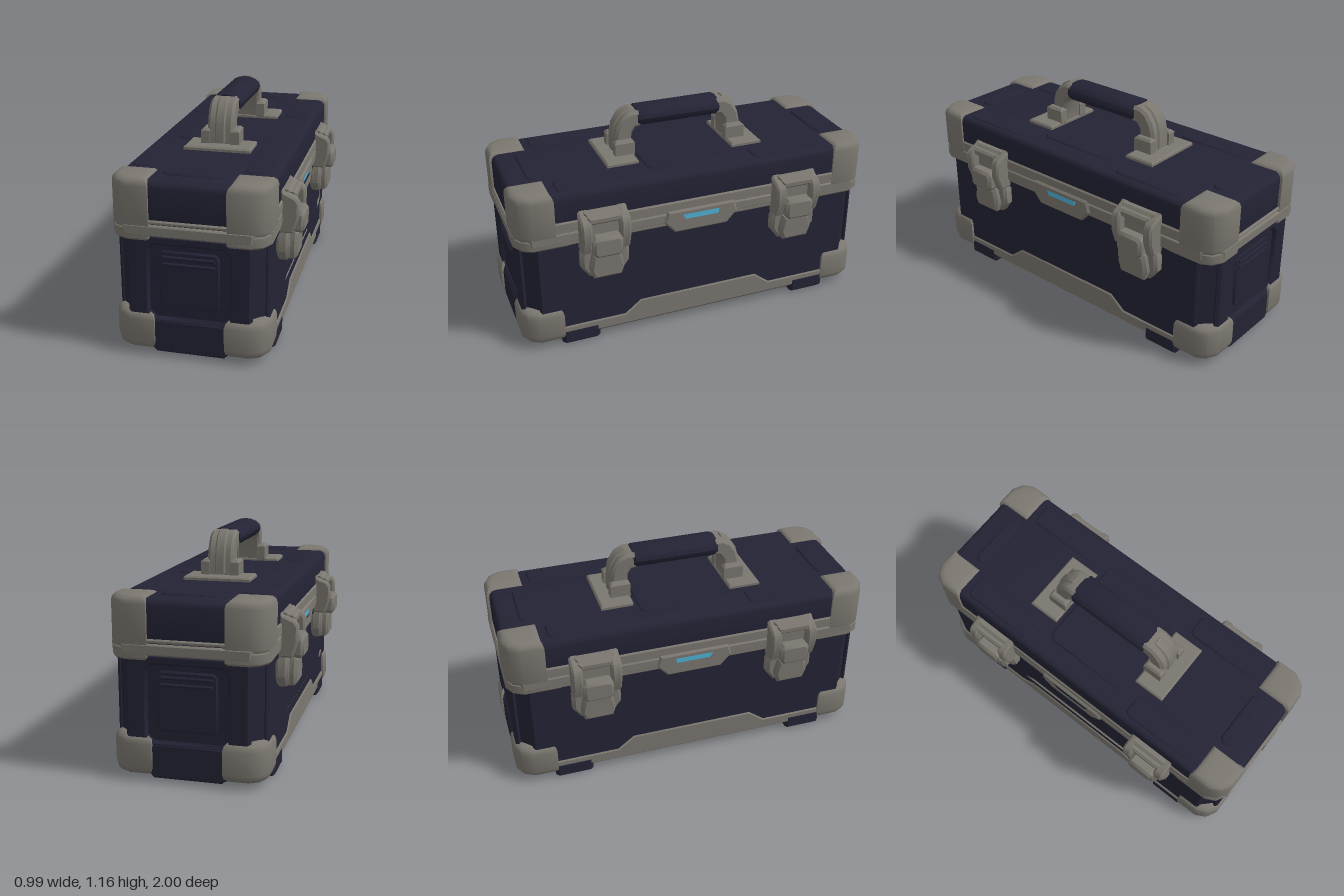
import * as THREE from 'three';
import { toCreasedNormals } from 'three/addons/utils/BufferGeometryUtils.js';

const navy = new THREE.MeshStandardMaterial({ color: 0x232335 });
navy.name = 'dark navy';
const grey = new THREE.MeshStandardMaterial({ color: 0x7b7770 });
grey.name = 'warm grey';
const cyan = new THREE.MeshStandardMaterial({ color: 0x4fb2d6 });
cyan.name = 'cyan';

const toPath = (pts, Type) => new Type(pts.map(([a, b]) => new THREE.Vector2(a, b)));

// Bevelled extrusion whose outline and depth stay exact
function extrude(pts, d0, d1, bevel, hole) {
  const shape = toPath(pts, THREE.Shape);
  if (hole) shape.holes.push(toPath(hole, THREE.Path));
  const g = new THREE.ExtrudeGeometry(shape, {
    depth: d1 - d0 - 2 * bevel, bevelEnabled: bevel > 0, bevelSize: bevel,
    bevelThickness: bevel, bevelOffset: -bevel, bevelSegments: bevel > 0.03 ? 3 : 1,
  });
  return g.translate(0, 0, d0 + bevel);
}

// Outline in (x, z) raised along y; in (z, y) run along x; in (x, y) run along z
const plan = (pts, y0, y1, b = 0.01) => extrude(pts.map(([x, z]) => [x, -z]), y0, y1, b).rotateX(-Math.PI / 2);
const flip = (pts) => pts && pts.map(([z, y]) => [-z, y]);
const across = (pts, x0, x1, b = 0.01, hole) => extrude(flip(pts), x0, x1, b, flip(hole)).rotateY(Math.PI / 2);
const along = extrude;

const rect = (x0, x1, y0, y1) => [[x0, y0], [x1, y0], [x1, y1], [x0, y1]];
const octagon = (x0, x1, y0, y1, c) => [
  [x0 + c, y0], [x1 - c, y0], [x1, y0 + c], [x1, y1 - c],
  [x1 - c, y1], [x0 + c, y1], [x0, y1 - c], [x0, y0 + c],
];
// Quarter plan of a corner guard, cut on its outer corner
const cornerPlan = (sx, sz, xi, xo, zi, zo, c) => [
  [xi, zi], [xo, zi], [xo, zo - c], [xo - c * 0.35, zo - c * 0.35], [xo - c, zo], [xi, zo],
].map(([x, z]) => [x * sx, z * sz]);
// Bounds mirrored across zero for side -1
const span = (s, a, b) => (s > 0 ? [a, b] : [-b, -a]);

export function createModel() {
  const model = new THREE.Group();
  const add = (name, geometry, material) => {
    const m = new THREE.Mesh(toCreasedNormals(geometry, 0.6), material);
    m.name = name;
    model.add(m);
    return m;
  };

  // Main shells
  add('body', plan(octagon(-0.36, 0.36, -0.965, 0.965, 0.07), 0.03, 0.66, 0.03), navy);
  add('lid', plan(octagon(-0.385, 0.385, -0.985, 0.985, 0.08), 0.66, 0.905, 0.035), navy);
  add('rimLower', plan(octagon(-0.393, 0.393, -1, 1, 0.085), 0.635, 0.692, 0.008), grey);
  add('rimUpper', plan(octagon(-0.39, 0.39, -0.997, 0.997, 0.085), 0.696, 0.715, 0.006), grey);

  // Grey base tray with a raised middle on each long side
  add('baseTray', across([
    [-0.82, 0.03], [0.82, 0.03], [0.82, 0.13], [0.44, 0.13], [0.35, 0.2],
    [-0.35, 0.2], [-0.44, 0.13], [-0.82, 0.13],
  ], -0.385, 0.385, 0.025), grey);
  add('undersidePanel', plan(octagon(-0.19, 0.19, -0.17, 0.17, 0.03), 0.022, 0.04, 0.006), navy);

  // Lid top relief
  add('lidCentrePad', plan(octagon(-0.27, 0.27, -0.25, 0.25, 0.03), 0.89, 0.913, 0.008), navy);

  for (const sz of [1, -1]) {
    const [e0, e1] = span(sz, 0.95, 0.983);
    // Recessed end panel with grooves
    add('endFrame', along(rect(-0.31, 0.31, 0.1, 0.64), e0, e1, 0.014,
      octagon(-0.2, 0.2, 0.21, 0.585, 0.03)), navy);
    const [p0, p1] = span(sz, 0.95, 0.975);
    add('endPanel', along(octagon(-0.15, 0.15, 0.26, 0.56, 0.02), p0, p1, 0.008), navy);
    const [r0, r1] = span(sz, 0.96, 0.984);
    for (const y of [0.485, 0.52]) add('endRib', along(rect(-0.13, 0.13, y, y + 0.016), r0, r1, 0.005), navy);
    const [k0, k1] = span(sz, 0.95, 0.988);
    add('endKick', along(octagon(-0.19, 0.19, 0.02, 0.2, 0.02), k0, k1, 0.012), navy);

    // Underside block and lid ribs
    add('undersideBlock', plan(octagon(-0.27, 0.27, ...span(sz, 0.54, 0.8), 0.03), 0.018, 0.06, 0.01), navy);
    add('undersideEnd', plan(rect(-0.19, 0.19, ...span(sz, 0.72, 0.96)), 0.02, 0.06, 0.01), navy);
    add('lidEndRib', plan(octagon(-0.16, 0.16, ...span(sz, 0.8, 0.87), 0.02), 0.89, 0.914, 0.008), navy);

    // Handle mounts and arms
    add('handlePlate', plan(rect(-0.177, 0.177, ...span(sz, 0.27, 0.445)), 0.89, 0.926, 0.008), grey);
    for (const sx of [1, -1]) {
      add('handleLug', plan(rect(...span(sx, 0.055, 0.102), ...span(sz, 0.265, 0.375)), 0.91, 1.005, 0.012), grey);
    }
    add('handleArm', across([
      [0.275, 0.91], [0.365, 0.91], [0.362, 1.02], [0.35, 1.07], [0.315, 1.125], [0.27, 1.15],
      [0.21, 1.15], [0.21, 1.065], [0.245, 1.06], [0.268, 1.03],
    ].map(([z, y]) => [z * sz, y]), -0.07, 0.07, 0.015), grey);
    add('handleRidge', across([
      [0.3, 0.93], [0.372, 0.93], [0.37, 1.02], [0.357, 1.075], [0.32, 1.132], [0.27, 1.157], [0.24, 1.1],
    ].map(([z, y]) => [z * sz, y]), -0.028, 0.028, 0.008), grey);

    for (const sx of [1, -1]) {
      // Corner guards, top, rim and bottom
      add('topCorner', plan(cornerPlan(sx, sz, 0.19, 0.395, 0.79, 0.998, 0.09), 0.65, 0.92, 0.04), grey);
      add('rimCorner', plan(cornerPlan(sx, sz, 0.19, 0.392, 0.72, 0.998, 0.085), 0.61, 0.68, 0.012), grey);
      add('bottomCorner', plan(cornerPlan(sx, sz, 0.175, 0.392, 0.775, 0.998, 0.09), 0.03, 0.237, 0.045), grey);
      // Feet
      add('foot', plan(octagon(...span(sx, 0.235, 0.387), ...span(sz, 0.58, 0.79), 0.015), 0, 0.09, 0.012), navy);
      // Raised rails on the lid
      add('lidRail', plan(octagon(...span(sx, 0.215, 0.35), ...span(sz, 0.33, 0.76), 0.02), 0.89, 0.912, 0.008), navy);
      addLatch(add, sx, sz * 0.545);
    }
  }

  for (const sx of [1, -1]) {
    // Long side frame and lid skirt
    add('sideFrame', across(rect(-0.9, 0.9, 0.09, 0.64), ...span(sx, 0.35, 0.378), 0.012,
      octagon(-0.79, 0.79, 0.22, 0.59, 0.05)), navy);
    add('lidSkirt', across([
      [-0.85, 0.69], [0.85, 0.69], [0.8, 0.757], [-0.8, 0.757],
    ], ...span(sx, 0.36, 0.393), 0.01), grey);
    add('rimSkirt', across([
      [-0.75, 0.615], [0.75, 0.615], [0.75, 0.685], [-0.75, 0.685],
    ], ...span(sx, 0.35, 0.39), 0.008), grey);

    // Centre bezel with a lit strip
    add('bezel', across([
      [-0.15, 0.575], [0.15, 0.575], [0.21, 0.64], [0.19, 0.705], [-0.19, 0.705], [-0.21, 0.64],
    ], ...span(sx, 0.36, 0.405), 0.01, [
      [-0.1, 0.625], [0.1, 0.625], [0.135, 0.685], [-0.135, 0.685],
    ]), grey);
    add('lightStrip', across([
      [-0.1, 0.645], [0.09, 0.645], [0.105, 0.677], [-0.105, 0.677],
    ], ...span(sx, 0.392, 0.399), 0), cyan);
  }
  return model;
}

// Clasp on a long side, centred at zc
function addLatch(add, sx, zc) {
  const at = (pts) => pts.map(([z, y]) => [z + zc, y]);
  add('latchBase', across(at([
    [-0.085, 0.42], [0.085, 0.42], [0.13, 0.48], [0.13, 0.56], [0.1, 0.62], [0.1, 0.8],
    [-0.1, 0.8], [-0.1, 0.62], [-0.13, 0.56], [-0.13, 0.48],
  ]), ...span(sx, 0.36, 0.425), 0.015), grey);
  add('latchFoot', across(at([
    [-0.075, 0.425], [0.075, 0.425], [0.095, 0.48], [0.075, 0.57], [-0.075, 0.57], [-0.095, 0.48],
  ]), ...span(sx, 0.4, 0.462), 0.015), grey);
  // Side arms
  for (const s of [1, -1]) {
    const [z0, z1] = span(s, 0.075, 0.13);
    add('latchArm', along([
      [0.37, 0.815], [0.4, 0.79], [0.455, 0.765], [0.472, 0.74], [0.472, 0.66], [0.445, 0.58], [0.37, 0.58],
    ].map(([x, y]) => [x * sx, y]), zc + z0, zc + z1, 0.01), grey);
  }
  // Lever and hinge bar
  add('latchLever', across(at(octagon(-0.08, 0.08, 0.565, 0.68, 0.02)), ...span(sx, 0.42, 0.493), 0.015), grey);
  add('latchBar', across(at(rect(-0.09, 0.09, 0.74, 0.785)), ...span(sx, 0.4, 0.452), 0.012), grey);
  if (zc > 0 && sx > 0) addGrip(add);
}

// Padded oval grip
function addGrip(add) {
  const profile = [[0, -0.235], [0.9, -0.235], [1, -0.222], [1, 0.222], [0.9, 0.235], [0, 0.235]];
  const g = new THREE.LatheGeometry(profile.map(([r, y]) => new THREE.Vector2(r, y)), 16);
  g.rotateX(Math.PI / 2).scale(0.086, 0.055, 1).translate(0, 1.109, 0);
  add('grip', g, navy);
}
